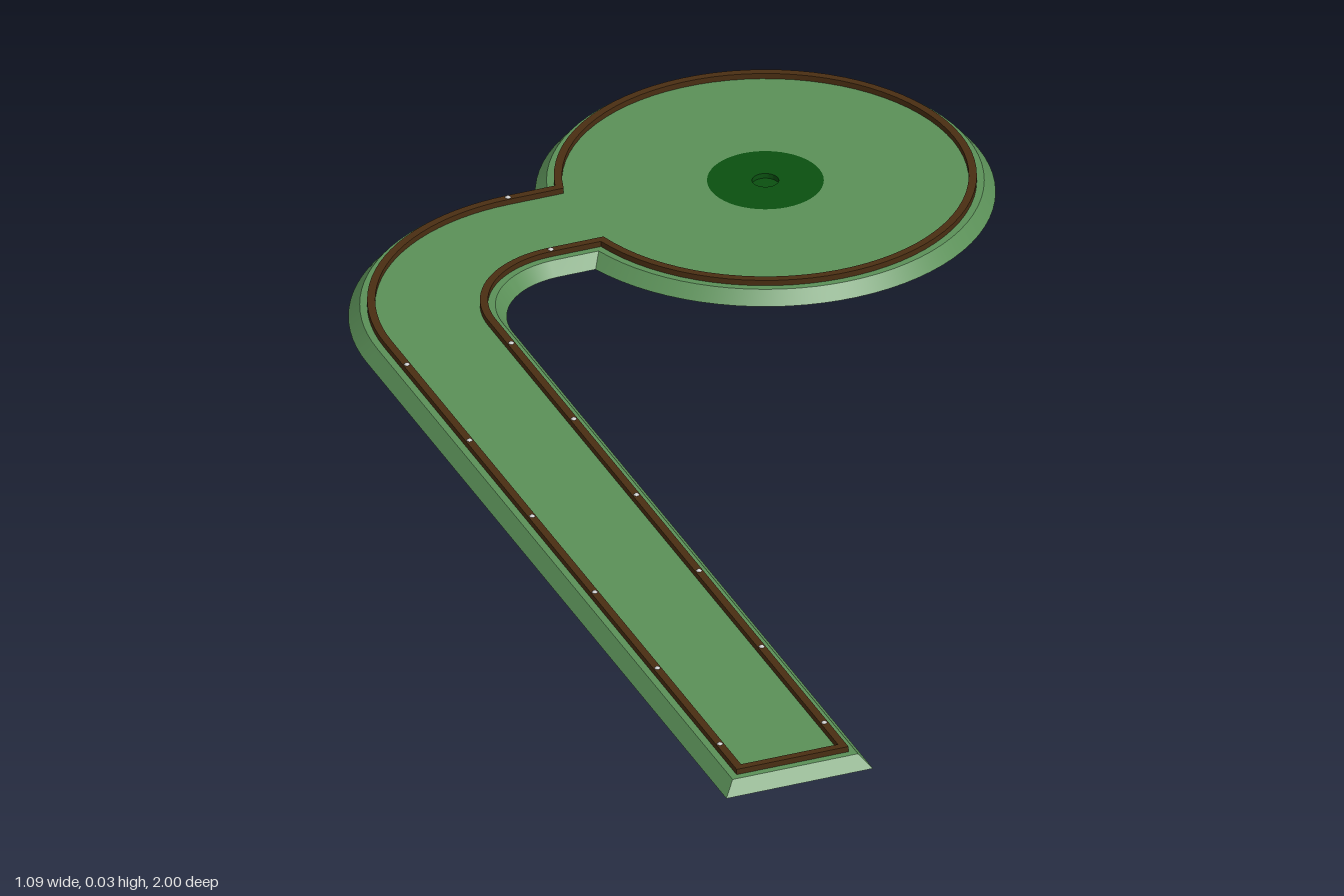
import * as THREE from 'three';
import { toCreasedNormals } from 'three/addons/utils/BufferGeometryUtils.js';

const LANE_X = -0.425, LANE_END = 0.97, HALF = 0.09;     // straight lane
const BEND = { x: -0.18, z: -0.41, r: 0.245 };           // quarter turn
const GREEN = { x: 0.2, z: -0.655, r: 0.315 };           // round putting area
const CUP_R = 0.087, FLOOR_Y = 0.02, CURB_Y = 0.029, CURB_W = 0.012;

const mat = color => new THREE.MeshStandardMaterial({ color, side: THREE.DoubleSide });

// Course outline grown outwards by d; the point count never changes, so outlines can be lofted.
function outline(d) {
  const pts = [], h = HALF + d, R = GREEN.r + d, a = Math.asin(h / R);
  const arc = (c, r, t0, t1, n) => {
    for (let i = 0; i <= n; i++) {
      const t = t0 + (t1 - t0) * i / n;
      pts.push([c.x + r * Math.cos(t), c.z + r * Math.sin(t)]);
    }
  };
  pts.push([LANE_X - h, LANE_END + d]);
  arc(BEND, BEND.r + h, Math.PI, 1.5 * Math.PI, 24);
  arc(GREEN, R, Math.PI + a, 3 * Math.PI - a, 72);
  arc(BEND, BEND.r - h, 1.5 * Math.PI, Math.PI, 24);
  pts.push([LANE_X + h, LANE_END + d]);
  return pts;
}

// Sweeps a profile of [offset, y] points around the outline.
function sweep(name, profile, material) {
  const pos = [], idx = [], loops = profile.map(([d]) => outline(d)), n = loops[0].length;
  loops.forEach((loop, k) => loop.forEach(([x, z]) => pos.push(x, profile[k][1], z)));
  for (let k = 0; k < profile.length - 1; k++) {
    for (let i = 0; i < n; i++) {
      const j = (i + 1) % n, a = k * n + i, b = k * n + j;
      idx.push(a, a + n, b, b, a + n, b + n);
    }
  }
  const geo = new THREE.BufferGeometry();
  geo.setAttribute('position', new THREE.Float32BufferAttribute(pos, 3));
  geo.setIndex(idx);
  const mesh = new THREE.Mesh(toCreasedNormals(geo, 0.4), material);
  mesh.name = name;
  return mesh;
}

export function createModel() {
  const group = new THREE.Group();
  group.name = 'golfHole';
  const grass = mat(0x5b9058), wood = mat(0x4a2e12), dark = mat(0x0a5010);

  // Sloping grass bank with a narrow ledge
  group.add(sweep('bank', [[0.028, 0], [0.011, FLOOR_Y], [0, FLOOR_Y]], grass));

  // Wooden curb
  group.add(sweep('curb',
    [[0, FLOOR_Y], [0, CURB_Y], [-CURB_W, CURB_Y], [-CURB_W, FLOOR_Y]], wood));

  // Playing surface, open where the cup sits
  const shape = new THREE.Shape(outline(-CURB_W).map(([x, z]) => new THREE.Vector2(x, -z)));
  shape.holes.push(new THREE.Path().absarc(GREEN.x, -GREEN.z, CUP_R, 0, Math.PI * 2, true));
  const floor = new THREE.Mesh(new THREE.ShapeGeometry(shape, 24).rotateX(-Math.PI / 2), grass);
  floor.position.y = FLOOR_Y;
  floor.name = 'playingSurface';
  group.add(floor);

  // Dark patch with the small cup in its middle
  const profile = [[CUP_R, 0], [0.02, 0], [0.02, -0.008], [0, -0.008]];
  const cup = new THREE.Mesh(toCreasedNormals(new THREE.LatheGeometry(
    profile.map(p => new THREE.Vector2(...p)), 48), 0.4), dark);
  cup.position.set(GREEN.x, FLOOR_Y, GREEN.z);
  cup.name = 'cup';
  group.add(cup);

  // Small pins along the curb
  const pins = new THREE.Group();
  pins.name = 'curbPins';
  const pinGeo = new THREE.SphereGeometry(0.005, 10, 6), pinMat = mat(0xcccccc);
  const addPin = (x, z) => {
    const pin = new THREE.Mesh(pinGeo, pinMat);
    pin.position.set(x, CURB_Y - 0.002, z);
    pin.name = 'curbPin';
    pins.add(pin);
  };
  for (const side of [-1, 1]) {
    const s = side * (HALF - CURB_W / 2);
    for (let i = 0; i < 6; i++) addPin(LANE_X + s, -0.335 + i * 0.245);
    addPin(BEND.x, GREEN.z + s);
  }
  group.add(pins);

  return group;
}
